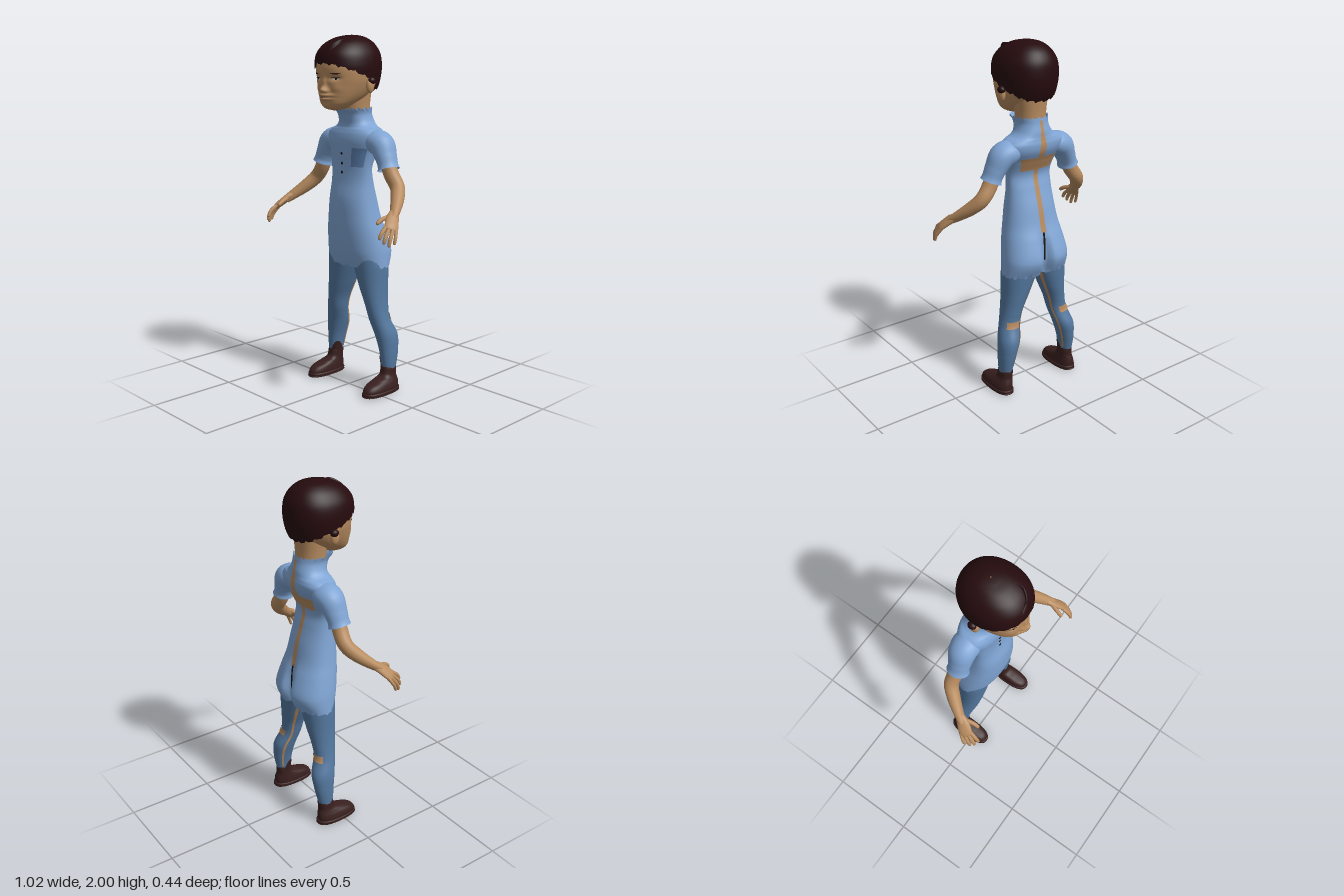
import * as THREE from 'three';
import { ParametricGeometry } from 'three/addons/geometries/ParametricGeometry.js';

const mat = (name, color, side = THREE.FrontSide) => {
  const m = new THREE.MeshStandardMaterial({ color, side });
  m.name = name;
  return m;
};
const V = (x, y, z) => new THREE.Vector3(x, y, z);
const bell = (...a) => Math.exp(-a.reduce((s, t) => s + t * t, 0));

// smooth interpolation through rows of numbers, v from 0 to 1
function sample(rows, v) {
  const n = rows.length - 1, t = THREE.MathUtils.clamp(v, 0, 1) * n;
  const i = Math.min(Math.floor(t), n - 1), f = t - i;
  const [a, b, c, d] = [-1, 0, 1, 2].map(k => rows[THREE.MathUtils.clamp(i + k, 0, n)]);
  return b.map((p, k) => p + 0.5 * f * (c[k] - a[k] + f * (2 * a[k] - 5 * p + 4 * c[k] - d[k]
    + f * (3 * (p - c[k]) + d[k] - a[k]))));
}

// v at which a loft reaches height y
function vAt(rows, y) {
  let lo = 0, hi = 1;
  for (let i = 0; i < 24; i++) {
    const m = (lo + hi) / 2;
    if (sample(rows, m)[0] < y) lo = m; else hi = m;
  }
  return (lo + hi) / 2;
}

// surface through level sections [y, centre x, half width, front z, back z]; u = 0 is the front
function loft(rows, power = 2.2, warp) {
  const e = 2 / power, pw = t => Math.sign(t) * Math.abs(t) ** e;
  const S = (u, v, target) => {
    const [y, cx, rx, zf, zb] = sample(rows, v), a = u * Math.PI * 2;
    target.set(cx + rx * pw(Math.sin(a)), y, (zf + zb) / 2 + (zf - zb) / 2 * pw(Math.cos(a)));
    if (warp) warp(target, a);
  };
  S.rows = rows;
  return S;
}

// tapering tube along [x, y, z, radius a, radius b], a lying towards the vector 'across'
function limb(rows, across) {
  const d = 1e-3, at = v => V(...sample(rows, v));
  return (u, v, target) => {
    const [x, y, z, ra, rb] = sample(rows, v), t = u * Math.PI * 2;
    const T = at(v + d).sub(at(v - d)).normalize();
    const A = across.clone().addScaledVector(T, -across.dot(T)).normalize();
    const B = T.clone().cross(A);
    target.set(x, y, z).addScaledVector(A, ra * Math.cos(t)).addScaledVector(B, rb * Math.sin(t));
  };
}

// thin piece lying on a loft between two angles and two heights
function patch(S, u0, u1, y0, y1, oval = false, lift = 0.004) {
  const d = 2e-4, p = V(), q = V(), r = V(), w = V();
  return (s, t, target) => {
    const k = oval ? 1 - 0.97 * (2 * s - 1) ** 2 : 1;
    const u = u0 + (u1 - u0) * s, v = vAt(S.rows, (y0 + y1) / 2 + (t - 0.5) * (y1 - y0) * k);
    S(u + d, v, p); S(u - d, v, q); p.sub(q);
    S(u, v + d, r); S(u, v - d, w); r.sub(w);
    S(u, v, target);
    target.addScaledVector(p.cross(r).normalize(), lift);
  };
}

export function createModel() {
  const model = new THREE.Group();
  model.name = 'child';
  const two = THREE.DoubleSide;
  const skin = mat('skin', 0xb88c60, two), shirt = mat('shirt blue', 0x80a5d4, two);
  const trousers = mat('trouser blue', 0x54789f, two), pocketBlue = mat('pocket blue', 0x5c80af, two);
  const hairDark = mat('dark hair', 0x260b0e, two), leather = mat('shoe leather', 0x39201f, two);
  const black = mat('black', 0x17100f, two), lipTone = mat('lips', 0xa0735a, two);
  const eyeTone = mat('eye white', 0xb5aa9c, two);

  const put = (name, geo, m) => {
    const mesh = new THREE.Mesh(geo, m);
    mesh.name = name;
    model.add(mesh);
    return mesh;
  };
  const add = (name, S, m, nu = 40, nv = 40) => put(name, new ParametricGeometry(S, nu, nv), m);
  const ball = (name, m, pos, size) => {
    const b = put(name, new THREE.SphereGeometry(1, 20, 14), m);
    b.position.set(...pos);
    b.scale.set(...size);
  };

  // shirt body, with a ragged hem and collar and a cleft behind
  const torso = loft([
    [0.718, 0, 0.206, 0.03, -0.19], [0.78, 0, 0.203, 0.05, -0.22], [0.83, 0, 0.198, 0.06, -0.222],
    [0.92, 0, 0.182, 0.07, -0.192], [1.0, 0, 0.165, 0.073, -0.16], [1.1, 0, 0.15, 0.07, -0.135],
    [1.2, 0, 0.14, 0.05, -0.105], [1.28, 0, 0.142, 0.042, -0.088], [1.36, 0, 0.16, 0.045, -0.12],
    [1.42, 0, 0.185, 0.05, -0.152], [1.46, 0, 0.19, 0.045, -0.16], [1.487, 0, 0.165, 0.036, -0.156],
    [1.505, 0, 0.125, 0.03, -0.153], [1.53, 0, 0.1, 0.032, -0.15], [1.57, 0, 0.088, 0.048, -0.14],
    [1.604, 0, 0.096, 0.075, -0.135]], 2.3, (p, a) => {
    if (Math.cos(a) < 0) p.z += 0.05 * bell(p.x / 0.03, (p.y - 0.8) / 0.13);
    const rag = Math.sin(a * 17) + Math.sin(a * 29);
    p.y += 0.004 * rag * (bell((p.y - 0.718) / 0.01) + bell((p.y - 1.604) / 0.01));
  });
  add('shirt', torso, shirt, 96, 96);
  ball('trouserSeat', trousers, [0, 0.775, -0.08], [0.17, 0.06, 0.085]);
  add('chestPocket', patch(torso, 0.057, 0.17, 1.285, 1.39), pocketBlue, 12, 10);
  add('backOpening', patch(torso, 0.488, 0.512, 0.96, 1.59), skin, 4, 50);
  add('backPatch', patch(torso, 0.39, 0.61, 1.31, 1.39, false, 0.003), skin, 24, 8);
  add('backSeam', patch(torso, 0.496, 0.504, 0.8, 0.98), black, 2, 14);
  for (const y of [1.355, 1.3, 1.25]) {
    const p = V();
    torso(-0.008, vAt(torso.rows, y), p);
    ball('button', black, p.toArray(), [0.008, 0.008, 0.005]);
  }

  // neck and head, the face shaped by soft bumps
  add('neck', loft([[1.5, 0, 0.08, 0.02, -0.13], [1.6, 0, 0.082, 0.035, -0.125],
    [1.68, 0, 0.09, 0.04, -0.13], [1.76, 0, 0.1, 0.03, -0.14]]), skin, 32, 12);
  const head = loft([
    [1.594, 0, 0.004, 0.11, 0.1], [1.605, 0, 0.05, 0.155, 0.045], [1.63, 0, 0.085, 0.174, 0],
    [1.67, 0, 0.116, 0.178, -0.08], [1.72, 0, 0.14, 0.178, -0.135], [1.77, 0, 0.154, 0.182, -0.16],
    [1.83, 0, 0.157, 0.184, -0.17], [1.9, 0, 0.142, 0.16, -0.15], [1.95, 0, 0.1, 0.1, -0.12],
    [1.98, 0, 0.004, 0, -0.03]], 2.2, p => {
    if (p.z < 0.03) return;
    const { x, y } = p, ax = Math.abs(x);
    p.z += 0.03 * bell(x / 0.02, (y - 1.706) / 0.018) + 0.014 * bell(x / 0.014, (y - 1.74) / 0.03)
      + 0.012 * bell((ax - 0.02) / 0.012, (y - 1.7) / 0.012)
      + 0.022 * bell(x / 0.042, (y - 1.678) / 0.009) + 0.019 * bell(x / 0.036, (y - 1.658) / 0.009)
      + 0.006 * bell((ax - 0.075) / 0.03, (y - 1.715) / 0.025)
      - 0.012 * bell((ax - 0.062) / 0.03, (y - 1.768) / 0.014);
  });
  add('head', head, skin, 96, 110);
  add('mouth', patch(head, -0.038, 0.038, 1.66, 1.678, true, 0.002), lipTone, 20, 4);
  add('mouthLine', patch(head, -0.036, 0.036, 1.666, 1.67, true, 0.004), black, 16, 2);

  // hair cap, its ragged edge falling from forehead to nape
  const hairRows = [
    [1.66, 0, 0.14, 0.17, -0.13], [1.72, 0, 0.153, 0.185, -0.165], [1.78, 0, 0.163, 0.191, -0.182],
    [1.84, 0, 0.167, 0.197, -0.187], [1.9, 0, 0.156, 0.187, -0.18], [1.95, 0, 0.124, 0.145, -0.152],
    [1.982, 0, 0.082, 0.085, -0.11], [1.996, 0, 0.04, 0.025, -0.065], [2.0, 0, 0.003, -0.017, -0.023]];
  const hull = loft(hairRows, 2.15);
  add('hair', (u, v, target) => {
    const a = u * Math.PI * 2;
    const edge = 1.77 + 0.075 * Math.cos(a) + 0.005 * Math.sin(a * 19) + 0.003 * Math.sin(a * 41);
    const v0 = vAt(hairRows, edge);
    hull(u, v0 + (1 - v0) * v, target);
  }, hairDark, 120, 40);
  add('hairLock', limb([[-0.06, 1.87, 0.182, 0.004, 0.003], [-0.02, 1.885, 0.184, 0.025, 0.01],
    [0.03, 1.915, 0.168, 0.028, 0.01], [0.055, 1.95, 0.125, 0.02, 0.008],
    [0.05, 1.975, 0.08, 0.003, 0.003]], V(0, 1, -0.3)), hairDark, 16, 24);

  for (const s of [1, -1]) {
    const side = s > 0 ? 'left' : 'right';
    const decal = (S, u0, u1, ...rest) => s > 0 ? patch(S, u0, u1, ...rest) : patch(S, -u1, -u0, ...rest);
    const tube = (name, rows, m, across, nu = 20, nv = 24) =>
      add(side + name, limb(rows.map(([x, ...r]) => [s * x, ...r]), V(s * across[0], across[1], across[2])), m, nu, nv);

    // eyes, brows and ears
    add(side + 'Eye', decal(head, 0.042, 0.094, 1.757, 1.774, true, 0.003), eyeTone, 14, 4);
    add(side + 'Iris', decal(head, 0.06, 0.077, 1.757, 1.773, true, 0.005), black, 8, 4);
    add(side + 'EyeLid', decal(head, 0.038, 0.098, 1.77, 1.777, true, 0.005), black, 14, 2);
    add(side + 'Brow', decal(head, 0.035, 0.105, 1.79, 1.797, true, 0.003), leather, 14, 2);
    ball(side + 'Ear', skin, [s * 0.16, 1.728, -0.005], [0.018, 0.04, 0.026]);
    ball(side + 'EarTop', hairDark, [s * 0.166, 1.755, -0.012], [0.02, 0.02, 0.024]);

    // arm, palm and fingers
    tube('Sleeve', [[0.1, 1.42, -0.06, 0.05, 0.055], [0.15, 1.425, -0.06, 0.066, 0.078],
      [0.2, 1.405, -0.058, 0.07, 0.076], [0.235, 1.35, -0.052, 0.057, 0.066],
      [0.255, 1.305, -0.048, 0.052, 0.06], [0.264, 1.28, -0.046, 0.058, 0.064]], shirt, [1, 0.5, 0], 32);
    tube('Arm', [[0.235, 1.36, -0.05, 0.042, 0.042], [0.275, 1.26, -0.052, 0.043, 0.042],
      [0.325, 1.19, -0.05, 0.041, 0.04], [0.368, 1.135, -0.005, 0.037, 0.037],
      [0.41, 1.085, 0.055, 0.03, 0.028], [0.437, 1.052, 0.1, 0.024, 0.02]], skin, [1, 0.7, 0], 24);
    const spread = [0.033, -0.02, -0.045];
    tube('Palm', [[0.41, 1.085, 0.055, 0.022, 0.02], [0.435, 1.055, 0.1, 0.034, 0.019],
      [0.462, 1.02, 0.137, 0.038, 0.015], [0.473, 1.002, 0.152, 0.03, 0.01],
      [0.475, 0.999, 0.155, 0.002, 0.002]], skin, spread);
    const fingers = [
      [[0.42, 1.065, 0.095], [0.406, 1.05, 0.15], [0.402, 1.028, 0.186], 0.012],
      [[0.448, 1.025, 0.155], [0.455, 0.992, 0.2], [0.453, 0.958, 0.22], 0.011],
      [[0.462, 1.015, 0.15], [0.474, 0.972, 0.192], [0.474, 0.936, 0.208], 0.011],
      [[0.474, 1.008, 0.138], [0.489, 0.962, 0.172], [0.49, 0.92, 0.187], 0.0105],
      [[0.48, 1.008, 0.118], [0.499, 0.966, 0.145], [0.502, 0.93, 0.158], 0.0095]];
    fingers.forEach(([a, b, c, r], i) => tube(i ? 'Finger' : 'Thumb', [
      [...a, r, r], [...b, r, r], [...c.map((t, k) => b[k] + (t - b[k]) * 0.85), r * 0.8, r * 0.8],
      [...c, 0.001, 0.001]], skin, spread, 10, 12));

    // trouser leg with its bare patches and dark ankle
    const leg = loft([
      [0.12, 0.222, 0.034, -0.062, -0.142], [0.18, 0.22, 0.041, -0.054, -0.157],
      [0.25, 0.213, 0.049, -0.047, -0.17], [0.33, 0.198, 0.058, -0.033, -0.173],
      [0.42, 0.172, 0.057, -0.013, -0.137], [0.5, 0.154, 0.06, 0, -0.14],
      [0.6, 0.128, 0.078, 0.012, -0.155], [0.72, 0.103, 0.101, 0.022, -0.17],
      [0.78, 0.1, 0.095, 0.025, -0.17]].map(([y, x, ...r]) => [y, s * x, ...r]), 2.1);
    add(side + 'TrouserLeg', leg, trousers, 40, 48);
    add(side + 'InnerLegOpening', decal(leg, 0.655, 0.69, 0.16, 0.7), skin, 4, 40);
    add(side + 'KneePatch', decal(leg, 0.36, 0.56, 0.405, 0.445), skin, 12, 5);
    add(side + 'AnklePatch', decal(leg, 0.7, 0.97, 0.07, 0.2, true), leather, 14, 10);

    // shoe with a stepped sole
    const foot = rows => loft(rows.map(([y, x, ...r]) => [y, s * x, ...r]), 2.5);
    add(side + 'Shoe', foot([[0.015, 0.23, 0.05, 0.088, -0.15], [0.035, 0.23, 0.054, 0.093, -0.155],
      [0.06, 0.228, 0.05, 0.07, -0.155], [0.08, 0.225, 0.043, 0.01, -0.15],
      [0.1, 0.222, 0.038, -0.045, -0.145], [0.15, 0.22, 0.034, -0.06, -0.145],
      [0.155, 0.22, 0.005, -0.1, -0.11]]), leather, 40, 30);
    add(side + 'Sole', foot([[0, 0.23, 0.002, -0.03, -0.034], [0.001, 0.23, 0.05, 0.09, -0.152],
      [0.012, 0.23, 0.058, 0.098, -0.16], [0.024, 0.23, 0.057, 0.097, -0.16],
      [0.028, 0.23, 0.045, 0.08, -0.145]]), leather, 40, 16);
    ball(side + 'SolePatch', skin, [s * 0.23, 0.003, 0.03], [0.03, 0.003, 0.045]);
  }
  return model;
}
